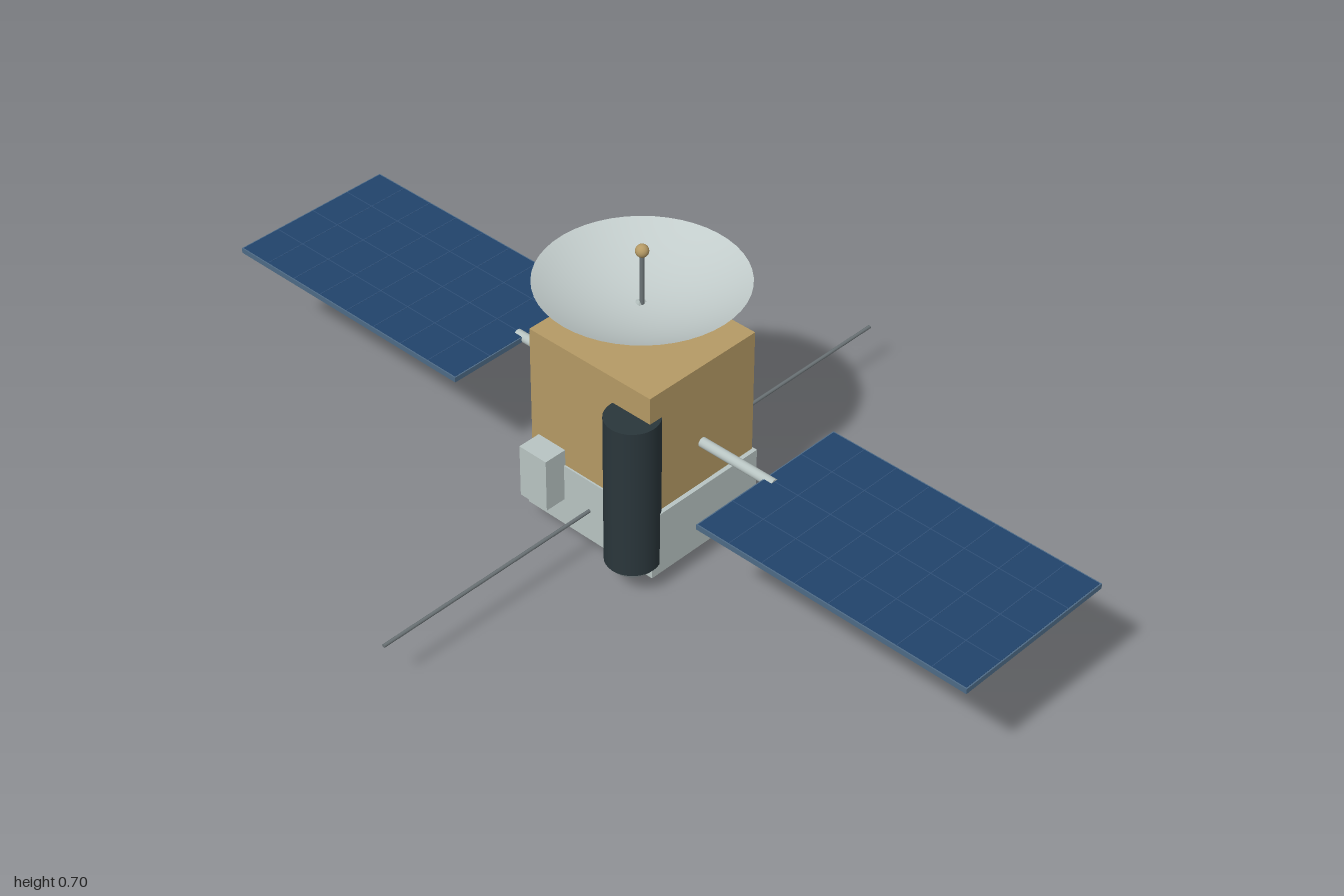
import * as THREE from 'three';

const mat = (color, side = THREE.FrontSide) => new THREE.MeshStandardMaterial({ color, side });
const GOLD = mat(0xb59a65), GREY = mat(0xb8c4c2), DARK = mat(0x2a363b), ROD = mat(0x6a7275);
const CELL = mat(0x21436b), FRAME = mat(0x4d6a86), LINE = mat(0x2f5078);
const DISH = mat(0xc2cccb, THREE.DoubleSide), BELL = mat(0x2a363b, THREE.DoubleSide);

export function createModel() {
  const model = new THREE.Group();
  model.name = 'satellite';

  const add = (name, geometry, material, x = 0, y = 0, z = 0, parent = model) => {
    const mesh = new THREE.Mesh(geometry, material);
    mesh.name = name;
    mesh.position.set(x, y, z);
    parent.add(mesh);
    return mesh;
  };
  const box = (name, m, w, h, d, x, y, z, parent) =>
    add(name, new THREE.BoxGeometry(w, h, d), m, x, y, z, parent);
  // Round bar between two points
  const bar = (name, m, a, b, r, parent) => {
    const from = new THREE.Vector3(...a), to = new THREE.Vector3(...b);
    const dir = to.clone().sub(from);
    const mid = from.add(to).multiplyScalar(0.5);
    const mesh = add(name, new THREE.CylinderGeometry(r, r, dir.length(), 16), m, mid.x, mid.y, mid.z, parent);
    mesh.quaternion.setFromUnitVectors(new THREE.Vector3(0, 1, 0), dir.normalize());
    return mesh;
  };
  const lathe = (points, segments) =>
    new THREE.LatheGeometry(points.map(([r, y]) => new THREE.Vector2(r, y)), segments);

  // Main body and service section
  box('upperBody', GOLD, 0.33, 0.295, 0.3, 0, 0.3425, 0);
  box('lowerBody', GREY, 0.35, 0.152, 0.308, 0, 0.121, 0);
  box('instrumentBox', GREY, 0.075, 0.125, 0.06, -0.108, 0.173, 0.175);

  // Telescope tube with a recessed lens end
  add('telescopeTube', new THREE.CylinderGeometry(0.058, 0.058, 0.358, 32), DARK, 0.122, 0.249, 0.155);
  add('telescopeLens', new THREE.CylinderGeometry(0.047, 0.047, 0.02, 32), ROD, 0.122, 0.067, 0.155);

  // Six thrusters in a ring under the body
  const bell = lathe([[0.024, 0], [0.016, 0.013], [0.009, 0.028], [0.007, 0.034], [0.007, 0.048]], 16);
  for (let i = 0; i < 6; i++) {
    const a = (i * Math.PI) / 3;
    add('thruster', bell, BELL, 0.105 * Math.cos(a), 0, 0.105 * Math.sin(a));
  }

  // Whip antennas, front and back
  for (const s of [-1, 1]) bar('whipAntenna', ROD, [0, 0.12, s * 0.15], [0, 0.12, s * 0.715], 0.004);

  // Solar wings, one on each side
  for (const s of [-1, 1]) {
    const wing = new THREE.Group();
    wing.name = s > 0 ? 'leftSolarWing' : 'rightSolarWing';
    model.add(wing);
    bar('boom', GREY, [s * 0.16, 0.3, 0], [s * 0.357, 0.3, 0], 0.011, wing);
    box('panelFrame', FRAME, 0.665, 0.012, 0.4, s * 0.6675, 0.3, 0, wing);
    box('panelCells', CELL, 0.659, 0.0134, 0.394, s * 0.6675, 0.3, 0, wing);
    // Seams between the cells
    for (let i = 1; i < 8; i++)
      box('cellSeam', LINE, 0.002, 0.0142, 0.394, s * (0.335 + (i * 0.665) / 8), 0.3, 0, wing);
    for (let i = 1; i < 4; i++)
      box('cellSeam', LINE, 0.659, 0.0142, 0.002, s * 0.6675, 0.3, -0.2 + i * 0.1, wing);
  }

  // Dish antenna: shallow bowl, slanted support, feed mast and feed
  const bowl = [];
  for (let i = 0; i <= 12; i++) {
    const r = (0.218 * i) / 12;
    bowl.push([r, 0.556 + 0.059 * (r / 0.218) ** 2]);
  }
  add('dish', lathe(bowl, 48), DISH);
  bar('dishSupport', GREY, [-0.1, 0.485, 0], [0.002, 0.557, 0], 0.01);
  bar('feedMast', ROD, [0, 0.556, 0], [0, 0.68, 0], 0.005);
  add('feed', new THREE.SphereGeometry(0.014, 20, 14), GOLD, 0, 0.682, 0);

  return model;
}
